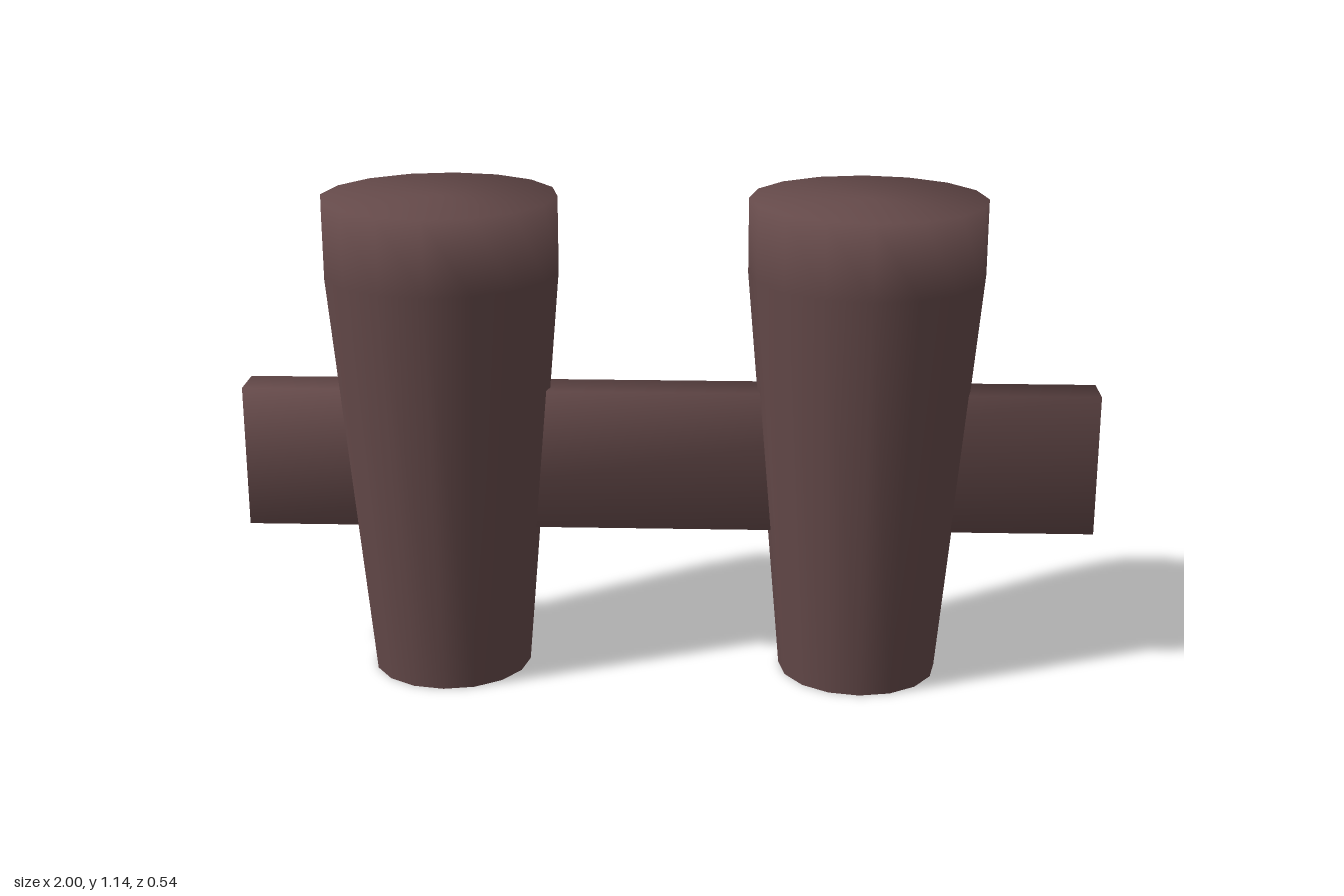
import * as THREE from 'three';

export function createModel() {
  const model = new THREE.Group();
  model.name = 'postsWithCrossbar';

  const wood = new THREE.MeshStandardMaterial({ color: 0x644949, side: THREE.DoubleSide });
  wood.name = 'dark brown';

  // Tapered posts, open underneath, shaded smoothly over the flat top
  const profile = [[0.188, 0], [0.272, 0.97], [0.272, 1.145], [0, 1.145]]
    .map(([r, y]) => new THREE.Vector2(r, y));
  const postGeometry = new THREE.LatheGeometry(profile, 16);
  for (const [name, x] of [['rightPost', -0.527], ['leftPost', 0.453]]) {
    const post = new THREE.Mesh(postGeometry, wood);
    post.name = name;
    post.position.x = x;
    model.add(post);
  }

  // Flat crossbar whose corner normals point diagonally outward for soft shading
  const barGeometry = new THREE.BoxGeometry(2, 0.337, 0.101);
  const { position, normal } = barGeometry.attributes;
  const k = 1 / Math.sqrt(3);
  for (let i = 0; i < position.count; i++) {
    normal.setXYZ(i,
      Math.sign(position.getX(i)) * k,
      Math.sign(position.getY(i)) * k,
      Math.sign(position.getZ(i)) * k);
  }
  const bar = new THREE.Mesh(barGeometry, wood);
  bar.name = 'crossbar';
  bar.position.set(0, 0.522, -0.017);
  model.add(bar);

  return model;
}
